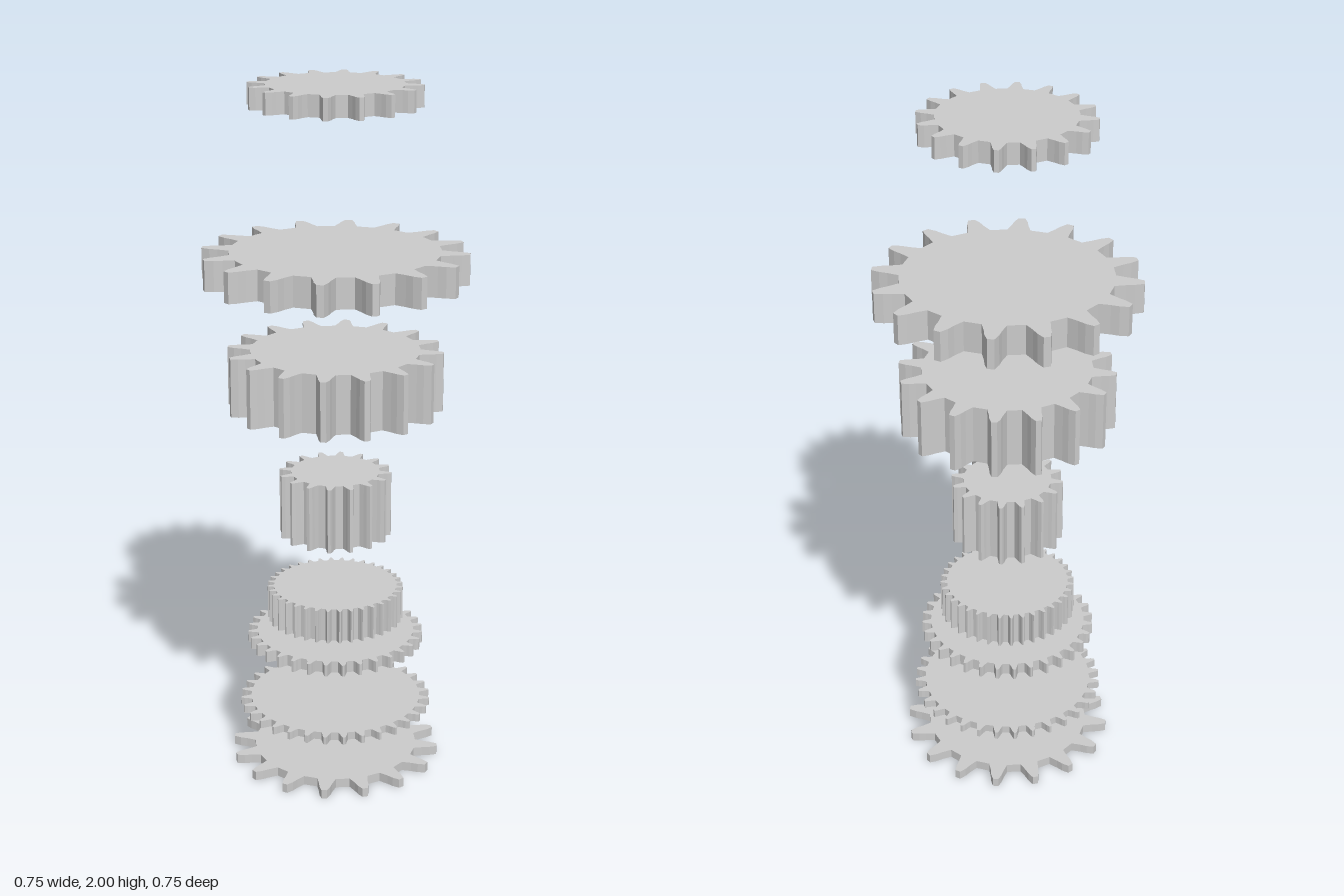
import * as THREE from 'three';

const material = new THREE.MeshStandardMaterial({ color: 0xcccccc, flatShading: true });

// Half-tooth profile: [fraction of the tooth pitch, fraction of the tooth height]
const HALF_TOOTH = [[0.285, 0], [0.25, 0.13], [0.185, 0.4], [0.14, 0.7], [0.067, 1]];

// Spur gear standing on y = 0, with one tooth centred on +x
function gearGeometry(radius, root, teeth, height) {
  const pitch = (Math.PI * 2) / teeth;
  const profile = [
    ...HALF_TOOTH.map(([a, h]) => [-a, h]),
    ...[...HALF_TOOTH].reverse(),
  ];
  const points = [];
  for (let i = 0; i < teeth; i++) {
    for (const [a, h] of profile) {
      const angle = (i + a) * pitch;
      const r = root + (radius - root) * h;
      points.push(new THREE.Vector2(r * Math.cos(angle), r * Math.sin(angle)));
    }
  }
  const geometry = new THREE.ExtrudeGeometry(new THREE.Shape(points), {
    depth: height, bevelEnabled: false,
  });
  return geometry.rotateX(-Math.PI / 2);
}

// Stack from bottom to top: name, bottom, top, tip radius, root radius, teeth
const GEARS = [
  ['thinBaseGear', 0, 0.027, 0.305, 0.24, 16],
  ['thinFineGear', 0.16, 0.183, 0.28, 0.25, 32],
  ['fineGear', 0.364, 0.398, 0.256, 0.229, 32],
  ['fineDrum', 0.44, 0.538, 0.198, 0.179, 36],
  ['tallPinion', 0.702, 0.892, 0.161, 0.127, 16],
  ['thickGear', 1.085, 1.255, 0.305, 0.24, 16],
  ['largeGear', 1.453, 1.54, 0.373, 0.295, 16],
  ['topGear', 1.94, 2, 0.24, 0.19, 16],
];

export function createModel() {
  const group = new THREE.Group();
  group.name = 'gearStack';
  for (const [name, bottom, top, radius, root, teeth] of GEARS) {
    const gear = new THREE.Mesh(gearGeometry(radius, root, teeth, top - bottom), material);
    gear.name = name;
    gear.position.y = bottom;
    group.add(gear);
  }
  return group;
}
